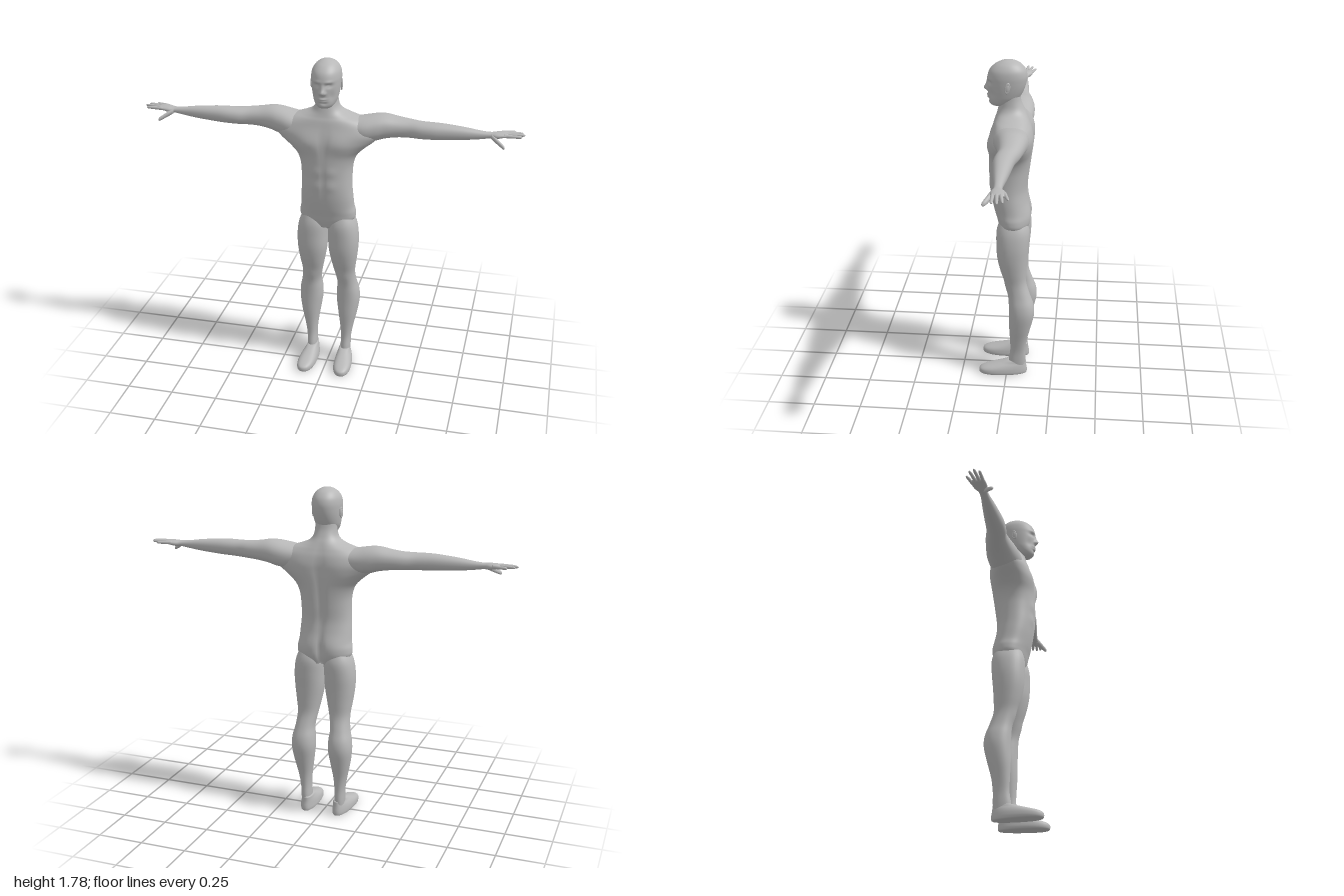
import * as THREE from 'three';

const skin = new THREE.MeshStandardMaterial({ color: 0xb8b8b8 });
skin.name = 'grey skin';

// Smooth interpolation through the rows of a station table
function sample(rows, u) {
  const n = rows.length - 1;
  const i = Math.min(Math.floor(u * n), n - 1), f = u * n - i;
  const [a, b, c, d] = [-1, 0, 1, 2].map(k => rows[Math.min(Math.max(i + k, 0), n)]);
  return b.map((_, k) => 0.5 * (2 * b[k] + (c[k] - a[k]) * f +
    (2 * a[k] - 5 * b[k] + 4 * c[k] - d[k]) * f * f +
    (3 * b[k] - a[k] - 3 * c[k] + d[k]) * f * f * f));
}

// Skin rounded cross-sections. Upright rows: [y, xMin, xMax, zMin, zMax];
// rows along x: [x, yMin, yMax, zMin, zMax]. side = -1 mirrors the part.
function loft(name, rows, { alongX = false, side = 1, seg = 32, steps = 4, power = 2.2, bumps = [], warp } = {}) {
  const pos = [], index = [], rings = (rows.length - 1) * steps;
  const flip = alongX !== (side < 0);
  const tri = (a, b, c) => flip ? index.push(a, c, b) : index.push(a, b, c);
  const add = (t, a, b) => {
    const v = alongX ? new THREE.Vector3(t, a, b) : new THREE.Vector3(a, t, b);
    if (warp) warp(v);
    pos.push(v.x * side, v.y, v.z);
  };
  const round = c => Math.sign(c) * Math.pow(Math.abs(c), 2 / power);
  for (let j = 0; j <= rings; j++) {
    const [t, a0, a1, b0, b1] = sample(rows, j / rings);
    for (let i = 0; i < seg; i++) {
      const w = i / seg * Math.PI * 2;
      add(t, (a0 + a1) / 2 + (a1 - a0) / 2 * round(Math.cos(w)),
        (b0 + b1) / 2 + (b1 - b0) / 2 * round(Math.sin(w)));
      if (j === rings) continue;
      const p = j * seg + i, q = j * seg + (i + 1) % seg;
      tri(p, p + seg, q);
      tri(q, p + seg, q + seg);
    }
  }
  // End caps
  [rows[0], rows[rows.length - 1]].forEach(([t, a0, a1, b0, b1], end) => {
    const centre = pos.length / 3, base = end * rings * seg;
    add(t, (a0 + a1) / 2, (b0 + b1) / 2);
    for (let i = 0; i < seg; i++) {
      const p = base + i, q = base + (i + 1) % seg;
      end ? tri(centre, q, p) : tri(centre, p, q);
    }
  });
  const g = new THREE.BufferGeometry();
  g.setAttribute('position', new THREE.Float32BufferAttribute(pos, 3));
  g.setIndex(index);
  g.computeVertexNormals();
  // Soft muscle and face relief: [x, y, z, rx, ry, rz, height], symmetric in x
  const P = g.attributes.position, N = g.attributes.normal;
  for (let i = 0; i < P.count && bumps.length; i++) {
    const x = P.getX(i), y = P.getY(i), z = P.getZ(i);
    let h = 0;
    for (const [bx, by, bz, rx, ry, rz, amount] of bumps)
      h += amount * Math.exp(-(((Math.abs(x) - bx) / rx) ** 2) - ((y - by) / ry) ** 2 - ((z - bz) / rz) ** 2);
    P.setXYZ(i, x + N.getX(i) * h, y + N.getY(i) * h, z + N.getZ(i) * h);
  }
  if (bumps.length) g.computeVertexNormals();
  const mesh = new THREE.Mesh(g, skin);
  mesh.name = name;
  return mesh;
}

// Rows symmetric in x: [y, halfWidth, zMin, zMax]
const centred = rows => rows.map(([y, w, b, f]) => [y, -w, w, b, f]);

// Tapered digit from base to tip, rounded at the end
function digit(name, from, to, ry, rz, side) {
  const rows = [[0, 0.95], [0.3, 1], [0.55, 0.9], [0.8, 0.82], [0.94, 0.62], [1, 0.1]].map(([u, s]) => {
    const [x, y, z] = from.map((v, k) => v + (to[k] - v) * u);
    return [x, y - ry * s, y + ry * s, z - rz * s, z + rz * s];
  });
  return loft(name, rows, { alongX: true, side, seg: 12, steps: 3, power: 2 });
}

export function createModel() {
  const model = new THREE.Group();
  model.name = 'human figure';

  // Torso and neck
  model.add(loft('torso', centred([
    [0.86, 0.08, -0.10, 0.035], [0.90, 0.142, -0.115, 0.05], [0.94, 0.15, -0.12, 0.06],
    [0.98, 0.142, -0.119, 0.072], [1.04, 0.138, -0.109, 0.085], [1.10, 0.134, -0.104, 0.093],
    [1.17, 0.134, -0.112, 0.096], [1.23, 0.14, -0.12, 0.098], [1.28, 0.16, -0.126, 0.098],
    [1.32, 0.20, -0.129, 0.097], [1.36, 0.25, -0.13, 0.094], [1.40, 0.28, -0.13, 0.088],
    [1.44, 0.25, -0.124, 0.078], [1.47, 0.19, -0.113, 0.07], [1.49, 0.13, -0.104, 0.062],
    [1.51, 0.085, -0.094, 0.056], [1.535, 0.064, -0.08, 0.05], [1.57, 0.057, -0.066, 0.042],
    [1.61, 0.055, -0.06, 0.03],
  ]), {
    seg: 72, steps: 5, bumps: [
      [0.08, 1.355, 0.09, 0.07, 0.05, 0.06, 0.012],   // chest
      [0, 1.36, 0.09, 0.015, 0.07, 0.05, -0.006],     // breastbone
      [0.04, 1.20, 0.095, 0.03, 0.025, 0.04, 0.004],  // abdomen
      [0.04, 1.12, 0.095, 0.03, 0.025, 0.04, 0.004],
      [0, 1.13, 0.095, 0.01, 0.12, 0.04, -0.004],
      [0, 1.24, -0.12, 0.022, 0.20, 0.05, -0.015],    // spine
      [0.10, 1.38, -0.11, 0.06, 0.07, 0.05, 0.008],   // shoulder blades
      [0.07, 0.94, -0.11, 0.05, 0.06, 0.05, 0.007],   // buttocks
      [0, 0.93, -0.12, 0.014, 0.07, 0.05, -0.02],
    ],
  }));

  // Head
  const head = new THREE.Group();
  head.name = 'head';
  head.add(loft('skull and face', centred([
    [1.542, 0.012, 0.03, 0.07], [1.547, 0.034, 0.005, 0.084], [1.562, 0.05, -0.025, 0.094],
    [1.585, 0.061, -0.055, 0.099], [1.61, 0.067, -0.072, 0.101], [1.64, 0.072, -0.085, 0.103],
    [1.67, 0.075, -0.093, 0.105], [1.70, 0.076, -0.096, 0.104], [1.73, 0.071, -0.089, 0.093],
    [1.755, 0.056, -0.07, 0.069], [1.770, 0.037, -0.047, 0.043], [1.778, 0.017, -0.022, 0.02],
    [1.780, 0.001, -0.002, 0.002],
  ]), {
    seg: 96, steps: 6, power: 2.1, bumps: [
      [0, 1.634, 0.105, 0.012, 0.014, 0.05, 0.019],    // nose
      [0, 1.655, 0.105, 0.009, 0.02, 0.05, 0.008],
      [0.013, 1.629, 0.105, 0.007, 0.007, 0.04, 0.005],
      [0.031, 1.668, 0.09, 0.016, 0.010, 0.05, -0.011], // eye sockets
      [0.031, 1.666, 0.09, 0.009, 0.005, 0.05, 0.005],
      [0.028, 1.687, 0.1, 0.022, 0.007, 0.05, 0.004],   // brows
      [0, 1.599, 0.1, 0.019, 0.005, 0.05, 0.008],       // lips
      [0, 1.587, 0.1, 0.016, 0.005, 0.05, 0.007],
      [0, 1.576, 0.1, 0.02, 0.005, 0.05, -0.004],
      [0, 1.56, 0.09, 0.018, 0.01, 0.04, 0.004],        // chin
      [0.045, 1.61, 0.08, 0.015, 0.025, 0.03, -0.004],  // cheeks
    ],
  }));
  model.add(head);

  for (const side of [1, -1]) {
    const label = side > 0 ? 'left ' : 'right ';

    // Ear: shallow shell with a raised rim
    const ear = new THREE.Group();
    ear.name = label + 'ear';
    const shell = new THREE.Mesh(new THREE.SphereGeometry(1, 20, 14), skin);
    shell.name = 'ear shell';
    shell.scale.set(0.006, 0.023, 0.012);
    const rim = new THREE.Mesh(new THREE.TorusGeometry(0.014, 0.004, 8, 28), skin);
    rim.name = 'ear rim';
    rim.rotation.y = Math.PI / 2;
    rim.scale.set(0.8, 1.65, 1);
    ear.add(shell, rim);
    ear.position.set(side * 0.077, 1.653, -0.002);
    ear.rotation.set(-0.15, side * 0.25, 0);
    head.add(ear);

    // Arm from shoulder to palm
    const arm = new THREE.Group();
    arm.name = label + 'arm';
    arm.add(loft('arm and palm', [
      [0.08, 1.38, 1.465, -0.10, 0.04], [0.18, 1.355, 1.483, -0.117, 0.06],
      [0.25, 1.36, 1.496, -0.12, 0.048], [0.30, 1.374, 1.498, -0.115, 0.034],
      [0.36, 1.384, 1.488, -0.105, 0.022], [0.42, 1.388, 1.481, -0.093, 0.018],
      [0.48, 1.39, 1.478, -0.077, 0.026], [0.54, 1.392, 1.478, -0.07, 0.027],
      [0.60, 1.395, 1.476, -0.065, 0.021], [0.70, 1.403, 1.467, -0.055, 0.009],
      [0.78, 1.413, 1.456, -0.046, -0.002], [0.83, 1.421, 1.452, -0.047, -0.005],
      [0.86, 1.421, 1.454, -0.062, 0.003], [0.89, 1.428, 1.454, -0.071, 0.001],
      [0.91, 1.432, 1.452, -0.068, -0.002], [0.917, 1.437, 1.449, -0.06, -0.008],
    ], { alongX: true, side }));
    [['index finger', [0.895, 1.442, -0.010], [0.987, 1.442, -0.012]],
      ['middle finger', [0.895, 1.444, -0.027], [1.0, 1.445, -0.037]],
      ['ring finger', [0.895, 1.444, -0.045], [0.988, 1.445, -0.061]],
      ['little finger', [0.875, 1.442, -0.059], [0.953, 1.443, -0.082]],
    ].forEach(([n, a, b]) => arm.add(digit(n, a, b, 0.009, 0.0088, side)));
    arm.add(digit('thumb', [0.835, 1.435, -0.015], [0.907, 1.393, 0.034], 0.014, 0.014, side));
    model.add(arm);

    // Leg from hip to ankle
    const leg = new THREE.Group();
    leg.name = label + 'leg';
    leg.add(loft('thigh and calf', [
      [0.95, 0.03, 0.12, -0.09, 0.03], [0.88, 0.002, 0.154, -0.118, 0.054],
      [0.80, 0.002, 0.167, -0.117, 0.056], [0.72, 0.006, 0.165, -0.11, 0.051],
      [0.64, 0.02, 0.155, -0.105, 0.033], [0.57, 0.035, 0.146, -0.105, 0.009],
      [0.50, 0.047, 0.152, -0.126, -0.007], [0.44, 0.042, 0.165, -0.147, -0.012],
      [0.38, 0.041, 0.168, -0.15, -0.014], [0.30, 0.052, 0.156, -0.132, -0.014],
      [0.22, 0.064, 0.138, -0.112, -0.018], [0.15, 0.07, 0.126, -0.104, -0.02],
      [0.09, 0.069, 0.124, -0.104, -0.012], [0.05, 0.07, 0.122, -0.10, -0.012],
    ].reverse(), { side, bumps: [[0.095, 0.55, 0.01, 0.03, 0.035, 0.04, 0.005]] }));

    // Foot, narrower at the heel with the toes turned slightly out
    leg.add(loft('foot', [
      [0, 0.06, 0.14, -0.105, 0.143], [0.004, 0.053, 0.147, -0.111, 0.151],
      [0.015, 0.05, 0.15, -0.113, 0.154], [0.03, 0.051, 0.149, -0.112, 0.15],
      [0.042, 0.053, 0.146, -0.11, 0.128], [0.055, 0.057, 0.14, -0.108, 0.085],
      [0.068, 0.062, 0.132, -0.107, 0.04], [0.08, 0.066, 0.127, -0.106, 0.002],
      [0.083, 0.072, 0.12, -0.10, -0.01],
    ], {
      side, power: 2.3, warp: v => {
        v.x = 0.098 + (v.x - 0.1) * (0.96 + v.z * 0.9) + v.z * 0.06;
      },
    }));
    model.add(leg);
  }
  return model;
}
